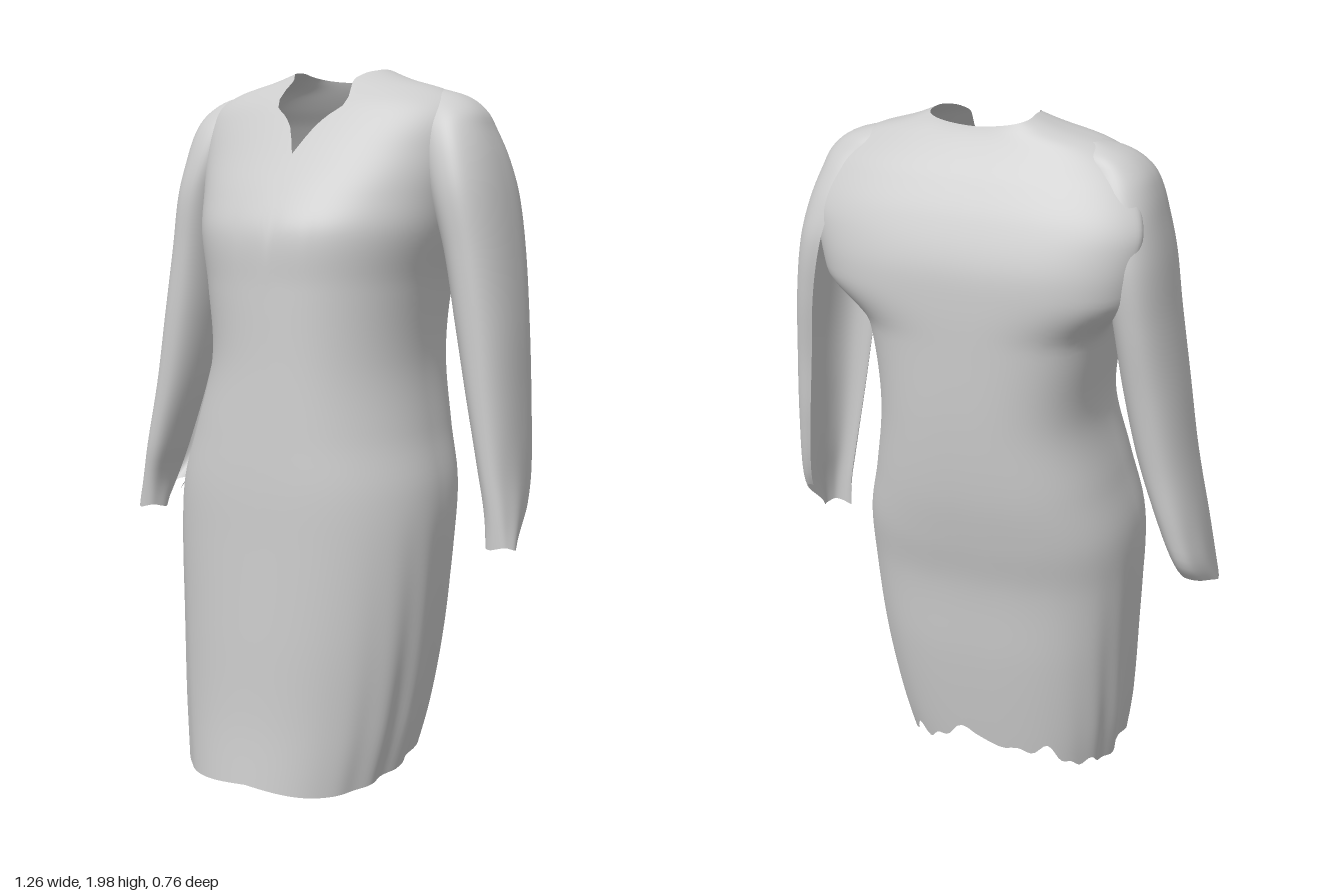
import * as THREE from 'three';

const material = new THREE.MeshStandardMaterial({ color: 0xcccccc, side: THREE.DoubleSide });
const { clamp, degToRad, smoothstep } = THREE.MathUtils;

// Smooth interpolation through rows [key, a, b, ...]; returns [a, b, ...] at the key
function sample(rows, key) {
  const last = rows.length - 1;
  const k = clamp(key, rows[0][0], rows[last][0]);
  let i = 0;
  while (i < last - 1 && rows[i + 1][0] < k) i++;
  const p = rows[i], q = rows[i + 1], h = q[0] - p[0], t = (k - p[0]) / h;
  const slope = (j, c) => {
    const a = rows[Math.max(j - 1, 0)], b = rows[Math.min(j + 1, last)];
    return (b[c] - a[c]) / (b[0] - a[0]);
  };
  return p.slice(1).map((_, n) => {
    const c = n + 1, t2 = t * t, t3 = t2 * t;
    return (2 * t3 - 3 * t2 + 1) * p[c] + (t3 - 2 * t2 + t) * h * slope(i, c)
      + (3 * t2 - 2 * t3) * q[c] + (t3 - t2) * h * slope(i + 1, c);
  });
}

// Surface from a grid of points; u runs round the ring, v runs upwards; cut(x, y, z) leaves holes
function loft(name, nu, nv, closed, point, cut) {
  const pos = [], index = [], cols = closed ? nu : nu + 1;
  for (let j = 0; j <= nv; j++)
    for (let i = 0; i < cols; i++) pos.push(...point(i / nu, j / nv));
  for (let j = 0; j < nv; j++)
    for (let i = 0; i < nu; i++) {
      const a = j * cols + i, b = j * cols + (i + 1) % cols;
      if (cut(...pos.slice(a * 3, a * 3 + 3))) continue;
      index.push(a, b, a + cols, b, b + cols, a + cols);
    }
  const geometry = new THREE.BufferGeometry();
  geometry.setAttribute('position', new THREE.Float32BufferAttribute(pos, 3));
  geometry.setIndex(index);
  geometry.computeVertexNormals();
  const mesh = new THREE.Mesh(geometry, material);
  mesh.name = name;
  return mesh;
}

const power = (v, e) => Math.sign(v) * Math.abs(v) ** e;

// Dress body: y, right edge x, left edge x, front z, back z
const body = [
  [0.00, -0.33, 0.28, 0.375, -0.23],
  [0.20, -0.36, 0.33, 0.355, -0.26],
  [0.45, -0.38, 0.37, 0.345, -0.29],
  [0.70, -0.395, 0.39, 0.335, -0.31],
  [0.85, -0.39, 0.385, 0.33, -0.34],
  [1.00, -0.35, 0.35, 0.32, -0.365],
  [1.20, -0.30, 0.32, 0.305, -0.38],
  [1.40, -0.325, 0.335, 0.295, -0.385],
  [1.55, -0.36, 0.375, 0.285, -0.385],
  [1.65, -0.38, 0.395, 0.235, -0.375],
  [1.76, -0.40, 0.42, 0.16, -0.335],
  [1.85, -0.40, 0.43, 0.10, -0.285],
  [1.90, -0.37, 0.40, 0.065, -0.25],
  [1.94, -0.30, 0.33, 0.03, -0.225],
  [1.97, -0.19, 0.23, 0.005, -0.21],
  [2.00, -0.11, 0.155, -0.03, -0.20],
];

// Neckline height by angle from the front: a notch in front, high at the sides
const neckline = [
  [0, 1.76], [4, 1.83], [9, 1.87], [14, 1.895], [19, 1.95],
  [35, 1.98], [60, 1.993], [90, 1.998], [130, 1.99], [180, 1.972],
];

// Hem height by angle from the front
const hemline = [[0, 0.035], [40, 0.02], [80, 0.04], [120, 0.07], [150, 0.13], [180, 0.17]];

function bodyPoint(u, v) {
  const a = u * Math.PI * 2, s = Math.sin(a), c = Math.cos(a);
  const deg = 180 - Math.abs(180 - u * 360);
  const ragged = c < 0 ? -c * (0.022 * Math.sin(a * 11) + 0.014 * Math.sin(a * 23 + 1)) : 0;
  const hem = sample(hemline, deg)[0] + ragged - 0.014 * Math.max(0, s) * Math.max(0, c);
  const top = sample(neckline, deg)[0];
  const y = hem + (top - hem) * (1 - (1 - v) ** 1.7);
  const [xr, xl, zf, zb] = sample(body, y);
  const mid = (xr + xl) / 2, half = (xl - xr) / 2;
  // the shoulder line sits towards the back
  const zc = zb + (zf - zb) * (0.5 - 0.06 * smoothstep(y, 1.2, 1.75));
  // the upper back is broad and hangs over the backs of the sleeves
  const broad = smoothstep(y, 1.44, 1.58) * (1 - smoothstep(y, 1.72, 1.93));
  const overhang = 0.075 * broad * smoothstep(-c, 0, 0.5);
  const e = c > 0 ? 0.93 : 0.7 - 0.1 * broad;
  // soft vertical folds at the sides of the skirt
  const fold = 0.008 * clamp((0.8 - y) / 0.6, 0, 1) * Math.abs(s) ** 5 * Math.sin(a * 17 + y * 4);
  return [
    mid + (half + fold + overhang) * power(s, e),
    y,
    zc + (c > 0 ? zf - zc : zc - zb) * power(c, e),
  ];
}

// The body opens into the sleeves at the armholes
const armhole = (x, y, z) => Math.abs(x) > 0.3 && Math.hypot((y - 1.71) / 0.15, (z + 0.09) / 0.11) < 1;
const insideShoulder = (x, y) => Math.abs(x) < 0.33 && y > 1.58 && y < 1.86;

// Sleeves: y, inner x, outer x, front z, back z
const leftSleeve = [
  [0.71, 0.54, 0.625, 0.06, -0.02],
  [0.80, 0.525, 0.62, 0.06, -0.12],
  [0.90, 0.50, 0.61, 0.06, -0.19],
  [1.10, 0.455, 0.595, 0.06, -0.235],
  [1.30, 0.415, 0.58, 0.06, -0.26],
  [1.50, 0.375, 0.555, 0.06, -0.295],
  [1.65, 0.33, 0.53, 0.06, -0.31],
  [1.75, 0.30, 0.505, 0.045, -0.29],
  [1.83, 0.28, 0.475, 0.02, -0.255],
  [1.88, 0.26, 0.45, -0.01, -0.225],
  [1.92, 0.24, 0.395, -0.05, -0.20],
  [1.945, 0.26, 0.31, -0.10, -0.16],
];
const rightSleeve = [
  [0.71, -0.55, -0.635, 0.02, -0.10],
  [0.80, -0.53, -0.62, 0.03, -0.20],
  [0.90, -0.49, -0.60, 0.045, -0.225],
  [1.10, -0.42, -0.56, 0.055, -0.24],
  [1.30, -0.375, -0.53, 0.06, -0.26],
  [1.50, -0.345, -0.50, 0.06, -0.285],
  [1.65, -0.32, -0.48, 0.06, -0.295],
  [1.75, -0.29, -0.46, 0.045, -0.28],
  [1.83, -0.27, -0.44, 0.02, -0.25],
  [1.88, -0.25, -0.415, -0.01, -0.225],
  [1.92, -0.23, -0.365, -0.05, -0.20],
  [1.945, -0.25, -0.29, -0.10, -0.16],
];

// A sleeve is a tube left open along the side that faces the body
function sleeve(name, rows, gapCentre, gap, cuffRise) {
  return loft(name, 48, 64, false, (u, v) => {
    const a = degToRad(gapCentre + gap / 2 + u * (360 - gap));
    const s = Math.sin(a), c = Math.cos(a);
    const hem = 0.705 + cuffRise * Math.max(0, -c) + 0.005 * Math.sin(a * 3);
    const y = hem + (1.945 - hem) * (1 - (1 - v) ** 1.5);
    const [xi, xo, zf, zb] = sample(rows, y);
    const crease = 1 + 0.04 * Math.sin(a * 6) * clamp((1.0 - y) / 0.2, 0, 1);
    return [
      (xi + xo) / 2 + Math.abs(xo - xi) / 2 * crease * power(s, 0.88),
      y,
      (zf + zb) / 2 + (zf - zb) / 2 * power(c, 0.88),
    ];
  }, insideShoulder);
}

export function createModel() {
  const group = new THREE.Group();
  group.name = 'dress';
  group.add(
    loft('dressBody', 160, 100, true, bodyPoint, armhole),
    sleeve('leftSleeve', leftSleeve, 242, 120, 0.16),
    sleeve('rightSleeve', rightSleeve, 105, 40, 0.06),
  );
  return group;
}
